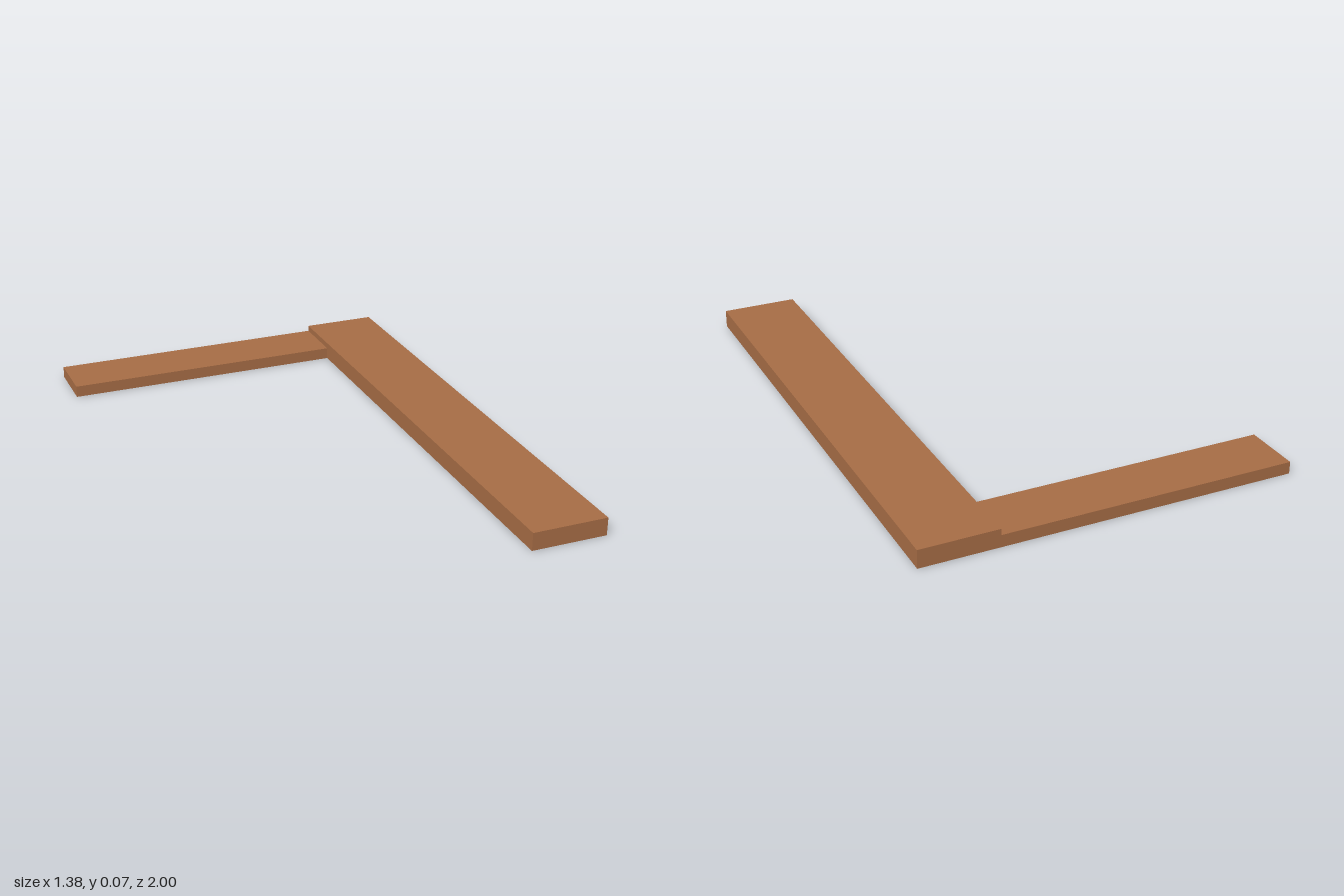
import * as THREE from 'three';

export function createModel() {
  const model = new THREE.Group();
  model.name = 'cornerBoards';

  const wood = new THREE.MeshStandardMaterial({ color: 0xa66c45 });
  wood.name = 'brown wood';

  // Board resting on the ground, given by its x and z extents and thickness
  function board(name, x0, x1, z0, z1, thickness) {
    const mesh = new THREE.Mesh(new THREE.BoxGeometry(x1 - x0, thickness, z1 - z0), wood);
    mesh.name = name;
    mesh.position.set((x0 + x1) / 2, thickness / 2, (z0 + z1) / 2);
    model.add(mesh);
  }

  // Long thick board running front to back
  board('longBoard', 0.404, 0.692, -1, 1, 0.068);
  // Shorter, thinner board butted against its back end
  board('shortBoard', -0.692, 0.404, -1, -0.783, 0.045);

  return model;
}
